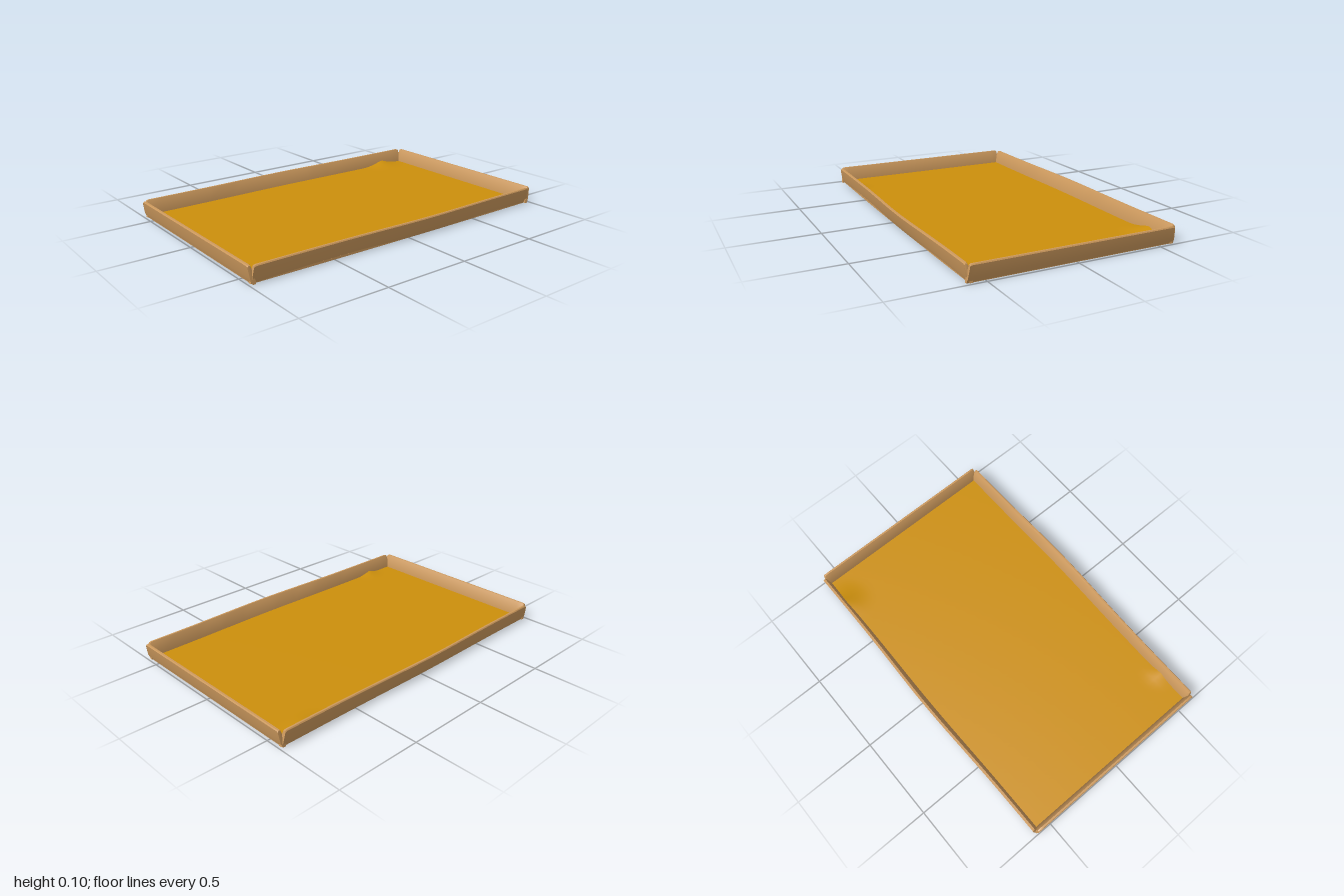
import * as THREE from 'three';
import { toCreasedNormals } from 'three/addons/utils/BufferGeometryUtils.js';

// Long sides bow outwards around a centre
const bow = (x, centre) => Math.exp(-(((x - centre) / 0.42) ** 2));

// Wall cross-section: [outward offset, height]
const PROFILE = [
  [-0.02, 0], [-0.009, 0.03], [0, 0.092], [-0.004, 0.098],
  [-0.014, 0.098], [-0.018, 0.092], [-0.037, 0.015], [-0.037, 0],
];

// Leaning wall lofted along x, outward face towards +z
function wallGeometry(halfLength, distance, bulge, centre) {
  const steps = [-1, -0.997, -0.985];
  for (let i = -11; i <= 11; i++) steps.push(i / 12);
  steps.push(0.985, 0.997, 1);
  const pos = [], idx = [], n = PROFILE.length;
  for (const t of steps) {
    const a = Math.abs(t);
    const drop = a === 1 ? 0.87 : a > 0.99 ? 0.96 : 1; // rounded upper corners
    for (const [d, y] of PROFILE) {
      const x = t * (halfLength - 0.1 * y);
      const out = bulge * bow(x, centre) * (0.5 + 5 * y);
      pos.push(x, y * drop, distance + d + out);
    }
  }
  for (let i = 0; i < steps.length - 1; i++) {
    for (let j = 0; j < n; j++) {
      const a = i * n + j, d = i * n + (j + 1) % n;
      idx.push(a, a + n, d + n, a, d + n, d);
    }
  }
  const last = (steps.length - 1) * n;
  for (let k = 1; k < n - 1; k++) {
    idx.push(0, k, k + 1, last, last + k + 1, last + k);
  }
  const g = new THREE.BufferGeometry();
  g.setAttribute('position', new THREE.Float32BufferAttribute(pos, 3));
  g.setIndex(idx);
  return toCreasedNormals(g, 0.6);
}

export function createModel() {
  const tray = new THREE.Group();
  tray.name = 'tray';
  const tan = new THREE.MeshStandardMaterial({ color: 0xcc995d });
  const gold = new THREE.MeshStandardMaterial({ color: 0xcc8f0c });

  const add = (name, geometry, material) => {
    const mesh = new THREE.Mesh(geometry, material);
    mesh.name = name;
    tray.add(mesh);
    return mesh;
  };

  // Four walls, with narrow notches left at the corners
  add('frontWall', wallGeometry(0.985, 0.603, 0.017, 0.15), tan);
  add('backWall', wallGeometry(0.985, 0.609, 0.015, 0.05), tan).rotation.y = Math.PI;
  add('leftWall', wallGeometry(0.597, 1, 0, 0), tan).rotation.y = Math.PI / 2;
  add('rightWall', wallGeometry(0.597, 1, 0, 0), tan).rotation.y = -Math.PI / 2;

  // Base slab with rounded corners
  const w = 0.981, h = 0.584, r = 0.025;
  const outline = new THREE.Shape();
  outline.moveTo(-w + r, -h);
  outline.quadraticCurveTo(0.1, -h - 0.014, w - r, -h);
  outline.quadraticCurveTo(w, -h, w, -h + r);
  outline.lineTo(w, h - r);
  outline.quadraticCurveTo(w, h, w - r, h);
  outline.quadraticCurveTo(-0.05, h + 0.014, -w + r, h);
  outline.quadraticCurveTo(-w, h, -w, h - r);
  outline.lineTo(-w, -h + r);
  outline.quadraticCurveTo(-w, -h, -w + r, -h);
  const base = new THREE.ExtrudeGeometry(outline, { depth: 0.012, bevelEnabled: false, curveSegments: 16 });
  base.rotateX(-Math.PI / 2);
  add('base', base, tan);

  // Inner floor, following the bowed walls and puckered beside two of them
  const floor = new THREE.PlaneGeometry(1.94, 1.15, 60, 40);
  floor.rotateX(-Math.PI / 2);
  const p = floor.attributes.position;
  const pucker = (x, z, cx, cz, size, height) =>
    height * Math.max(0, 1 - Math.hypot(x - cx, z - cz) / size) ** 2;
  for (let i = 0; i < p.count; i++) {
    const x = p.getX(i), z = p.getZ(i);
    const side = z > 0 ? 0.009 * bow(x, 0.15) : 0.008 * bow(x, -0.05);
    const y = 0.015 + pucker(x, z, 0.8, -0.58, 0.17, 0.03) + pucker(x, z, -0.77, 0.57, 0.11, 0.02);
    p.setXYZ(i, x, y, z - 0.003 + Math.sign(z) * side * Math.abs(z / 0.575) ** 3);
  }
  floor.computeVertexNormals();
  add('innerFloor', floor, gold);

  return tray;
}
